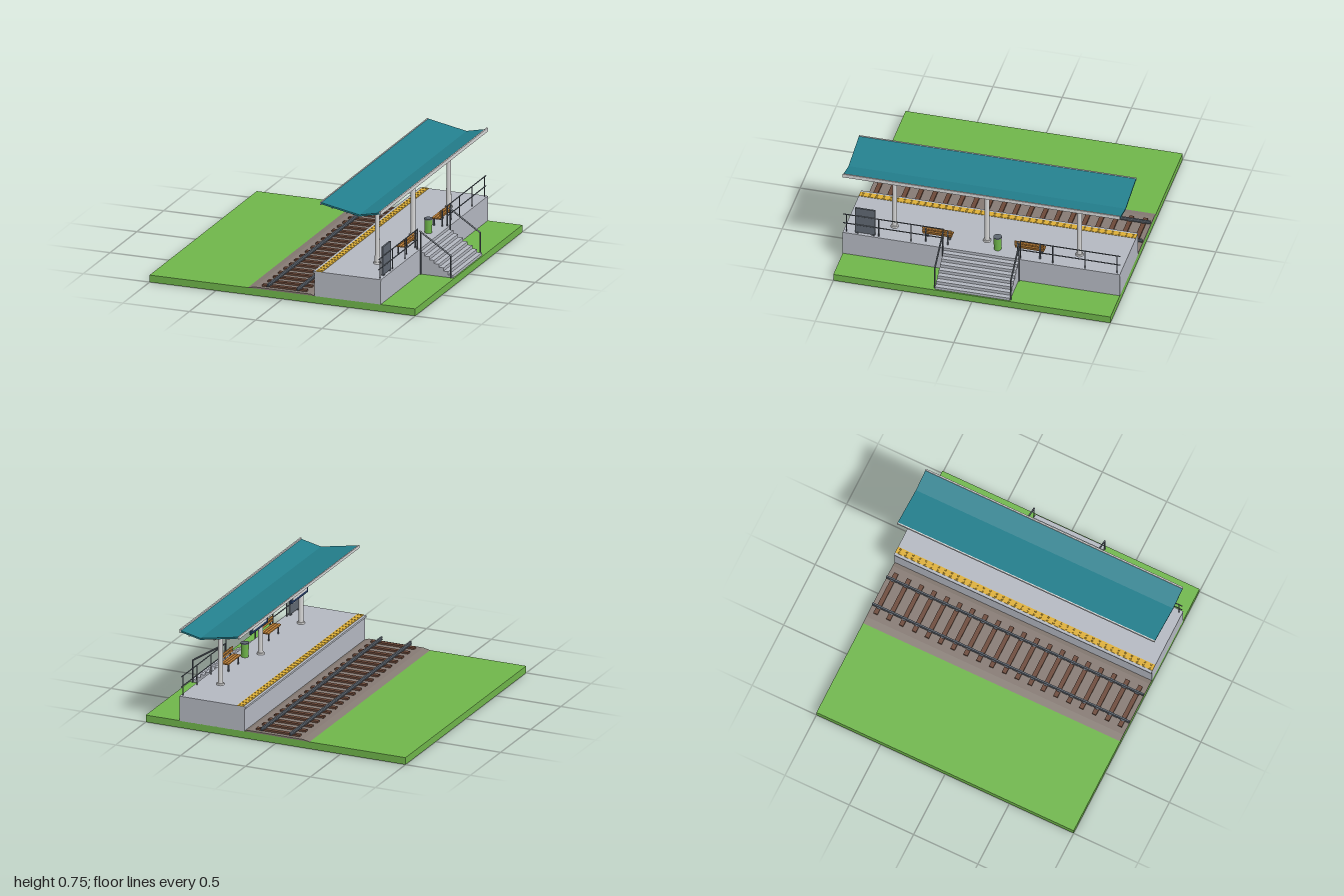
import * as THREE from 'three';

const paint = (name, color) => {
  const m = new THREE.MeshStandardMaterial({ color });
  m.name = name;
  return m;
};

export function createModel() {
  const root = new THREE.Group();
  root.name = 'railwayPlatform';
  const grass = paint('grassGreen', 0x6fb54a), gravel = paint('gravel', 0x857a73);
  const timber = paint('darkTimber', 0x6b4838), steel = paint('steelGrey', 0x5f6771);
  const concrete = paint('concrete', 0xb3b7c0), yellow = paint('safetyYellow', 0xdcae36);
  const teal = paint('canopyTeal', 0x237f8d), pale = paint('paleGrey', 0xd6d6d6);
  const navy = paint('signNavy', 0x20365c), wood = paint('benchWood', 0xc5853a);

  const add = (name, geo, mat, x = 0, y = 0, z = 0, parent = root) => {
    const m = new THREE.Mesh(geo, mat);
    m.name = name;
    m.position.set(x, y, z);
    parent.add(m);
    return m;
  };
  // Box given by its min and max corners
  const box = (name, mat, x0, x1, y0, y1, z0, z1, parent = root) =>
    add(name, new THREE.BoxGeometry(x1 - x0, y1 - y0, z1 - z0), mat,
      (x0 + x1) / 2, (y0 + y1) / 2, (z0 + z1) / 2, parent);
  const cyl = (name, mat, r0, r1, y0, y1, x, z, parent = root, n = 16) =>
    add(name, new THREE.CylinderGeometry(r1, r0, y1 - y0, n), mat, x, (y0 + y1) / 2, z, parent);
  // Round bar between two points
  const rod = (name, mat, a, b, r, parent = root) => {
    const p = new THREE.Vector3(...a), q = new THREE.Vector3(...b), d = q.clone().sub(p);
    const m = add(name, new THREE.CylinderGeometry(r, r, d.length(), 8), mat, 0, 0, 0, parent);
    m.position.copy(p).add(q).multiplyScalar(0.5);
    m.quaternion.setFromUnitVectors(new THREE.Vector3(0, 1, 0), d.normalize());
    return m;
  };
  // Profile in x and y, extruded along z
  const extrude = (name, mat, pts, z0 = -1, z1 = 1, parent = root) => {
    const shape = new THREE.Shape(pts.map(p => new THREE.Vector2(...p)));
    return add(name, new THREE.ExtrudeGeometry(shape, { depth: z1 - z0, bevelEnabled: false }), mat, 0, 0, z0, parent);
  };
  const group = name => {
    const g = new THREE.Group();
    g.name = name;
    root.add(g);
    return g;
  };

  // Ground and gravel bed
  box('ground', grass, -1, 1, 0, 0.052, -1, 1);
  extrude('gravelBed', gravel, [[-0.27, 0.05], [0.25, 0.05], [0.21, 0.063], [-0.21, 0.063]]);

  // Track
  const track = group('track');
  for (let i = 0; i < 20; i++) {
    const z = -0.95 + i * 0.1;
    box('sleeper', timber, -0.167, 0.167, 0.058, 0.076, z - 0.016, z + 0.016, track);
    for (const x of [-0.112, 0.112])
      box('railPlate', steel, x - 0.014, x + 0.014, 0.076, 0.08, z - 0.01, z + 0.01, track);
  }
  for (const x of [-0.112, 0.112]) {
    box('railFoot', steel, x - 0.009, x + 0.009, 0.075, 0.079, -1, 1, track);
    box('railWeb', steel, x - 0.003, x + 0.003, 0.079, 0.089, -1, 1, track);
    box('railHead', steel, x - 0.006, x + 0.006, 0.088, 0.096, -1, 1, track);
  }

  // Platform with coping slab and tactile strip
  box('platformBody', concrete, 0.242, 0.74, 0.05, 0.22, -1, 1);
  box('platformSlab', concrete, 0.23, 0.742, 0.22, 0.234, -1, 1);
  box('tactileStrip', yellow, 0.25, 0.297, 0.234, 0.237, -1, 1);
  for (let i = 0; i < 40; i++)
    for (const x of [0.262, 0.285])
      cyl('tactileStud', yellow, 0.007, 0.005, 0.237, 0.241, x, -0.975 + i * 0.05, root, 8);

  // Stairs
  const stairs = group('stairs');
  for (let i = 0; i < 7; i++) {
    const x = 0.74 + i * 0.0357;
    box('step', concrete, x, x + 0.0357, 0.05, 0.211 - i * 0.0232, -0.27, 0.27, stairs);
  }
  for (const z of [-0.275, 0.275]) {
    rod('stairHandrail', steel, [0.74, 0.37, z], [0.977, 0.216, z], 0.006, stairs);
    rod('stairUpperPost', steel, [0.75, 0.05, z], [0.75, 0.365, z], 0.005, stairs);
    rod('stairLowerPost', steel, [0.975, 0.05, z], [0.975, 0.218, z], 0.005, stairs);
  }

  // Rear railings
  const railing = group('railing');
  for (const s of [-1, 1]) {
    for (const y of [0.306, 0.381])
      rod('railingBar', steel, [0.725, y, s * 0.275], [0.725, y, s], 0.004, railing);
    for (let i = 0; i < 4; i++) {
      const z = s * (0.28 + i * 0.232);
      rod('railingPost', steel, [0.725, 0.234, z], [0.725, 0.381, z], 0.004, railing);
    }
  }

  // Butterfly canopy
  const canopy = group('canopy');
  extrude('canopyRoof', teal, [[0.29, 0.735], [0.58, 0.68], [0.735, 0.714], [0.735, 0.726],
    [0.58, 0.692], [0.29, 0.747]], -1, 1, canopy);
  box('frontFascia', pale, 0.283, 0.292, 0.729, 0.75, -1, 1, canopy);
  box('rearFascia', pale, 0.729, 0.74, 0.708, 0.735, -1, 1, canopy);
  for (const [x, y] of [[0.37, 0.713], [0.48, 0.692], [0.67, 0.693]])
    box('purlin', pale, x - 0.005, x + 0.005, y - 0.005, y + 0.008, -0.99, 0.99, canopy);

  // Columns with sloping arms
  for (const z of [-0.667, 0, 0.667]) {
    cyl('column', pale, 0.018, 0.016, 0.234, 0.68, 0.58, z, canopy);
    cyl('columnBase', pale, 0.028, 0.026, 0.234, 0.246, 0.58, z, canopy);
    extrude('canopyArm', pale, [[0.31, 0.705], [0.58, 0.649], [0.71, 0.687], [0.707, 0.7],
      [0.58, 0.667], [0.313, 0.719]], z - 0.01, z + 0.01, canopy);
  }

  // Hanging signs
  for (const z of [-0.333, 0.333]) {
    const sign = group('hangingSign');
    box('signBoard', navy, 0.435, 0.448, 0.558, 0.615, z - 0.139, z + 0.139, sign);
    box('signPanel', pale, 0.433, 0.45, 0.578, 0.599, z - 0.115, z + 0.115, sign);
    for (const dz of [-0.115, 0.115])
      rod('signHanger', steel, [0.4415, 0.612, z + dz], [0.4415, 0.712, z + dz], 0.002, sign);
  }

  // Benches
  for (const z of [-0.333, 0.333]) {
    const bench = group('bench');
    for (let i = 0; i < 3; i++) {
      const x = 0.627 + i * 0.021;
      box('seatSlat', wood, x, x + 0.017, 0.29, 0.299, z - 0.105, z + 0.105, bench);
    }
    for (const y of [0.313, 0.336])
      box('backSlat', wood, 0.688, 0.695, y, y + 0.015, z - 0.105, z + 0.105, bench);
    for (const dz of [-0.08, 0.08]) {
      const a = z + dz - 0.005, b = z + dz + 0.005;
      box('benchFrontLeg', steel, 0.632, 0.64, 0.234, 0.29, a, b, bench);
      box('benchBackLeg', steel, 0.694, 0.701, 0.234, 0.351, a, b, bench);
      box('benchBearer', steel, 0.63, 0.697, 0.283, 0.29, a, b, bench);
    }
  }

  // Litter bin
  const bin = group('litterBin');
  cyl('binBody', grass, 0.026, 0.028, 0.234, 0.333, 0.657, -0.096, bin, 20);
  cyl('binRim', steel, 0.03, 0.03, 0.331, 0.34, 0.657, -0.096, bin, 20);

  // Notice board
  const board = group('noticeBoard');
  box('boardBody', steel, 0.712, 0.724, 0.24, 0.447, 0.77, 0.915, board);
  box('boardPoster', pale, 0.71, 0.713, 0.31, 0.425, 0.79, 0.895, board);
  box('boardHeading', navy, 0.709, 0.711, 0.395, 0.425, 0.79, 0.895, board);
  for (const z of [0.785, 0.9])
    box('boardFoot', steel, 0.708, 0.728, 0.234, 0.242, z - 0.01, z + 0.01, board);

  return root;
}
